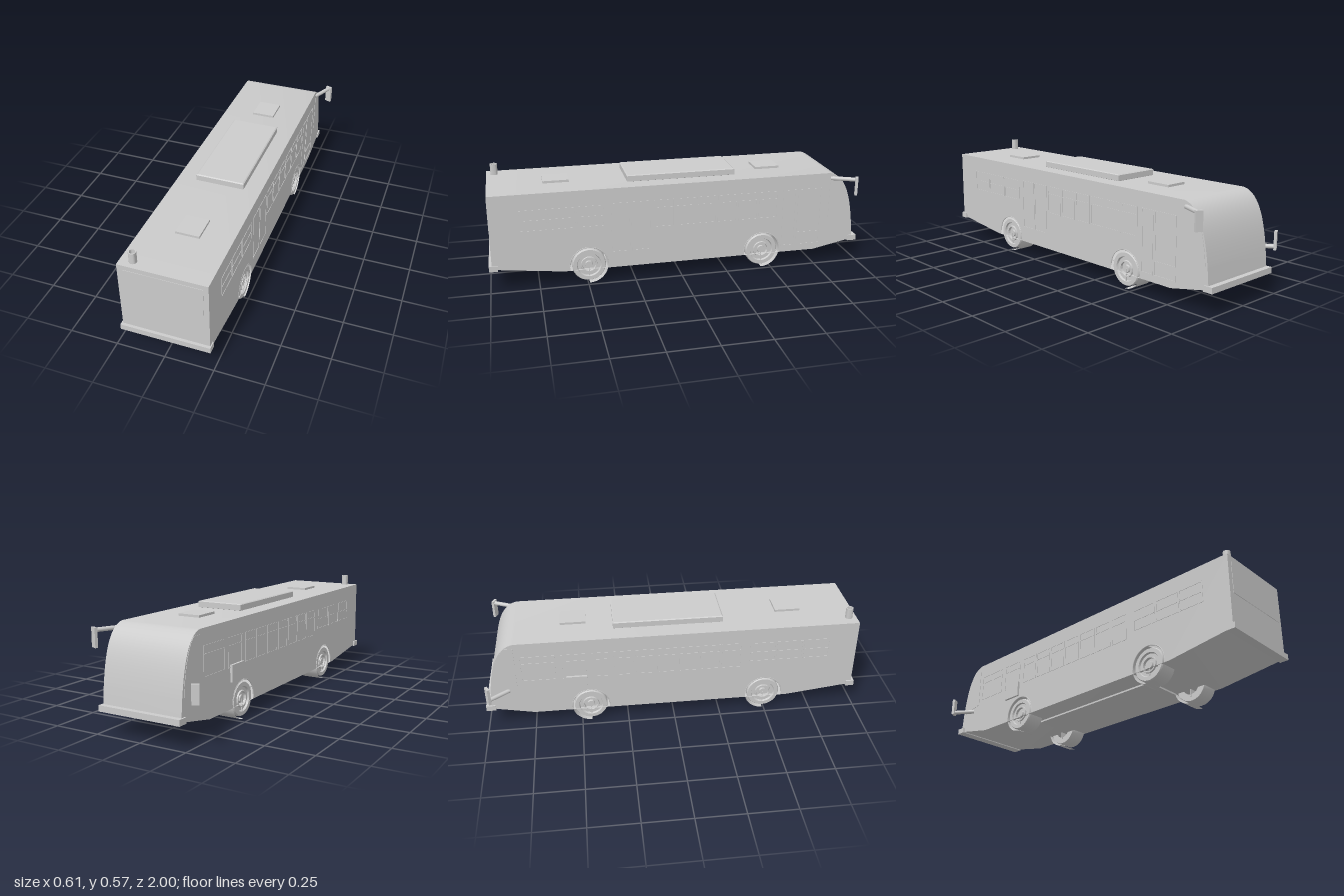
import * as THREE from 'three';
import { toCreasedNormals } from 'three/addons/utils/BufferGeometryUtils.js';

const X0 = -0.212, X1 = 0.229, XC = 0.0085;
const REAR_Z = 0.492, FRONT_Z = -0.449, WHEEL_Y = 0.088, WHEEL_R = 0.088, ARCH_R = 0.1;

export function createModel() {
  const root = new THREE.Group();
  const mat = new THREE.MeshStandardMaterial({ color: 0xcccccc });
  const thin = new THREE.MeshStandardMaterial({ color: 0xcccccc, side: THREE.DoubleSide });

  const add = (name, geo, parent = root, m = mat) => {
    const mesh = new THREE.Mesh(geo, m);
    mesh.name = name;
    parent.add(mesh);
    return mesh;
  };
  const group = (name) => {
    const g = new THREE.Group();
    g.name = name;
    root.add(g);
    return g;
  };
  // Box given by its limits on each axis
  const box = (name, xa, xb, ya, yb, za, zb, parent = root) => {
    const m = add(name, new THREE.BoxGeometry(xb - xa, yb - ya, zb - za), parent);
    m.position.set((xa + xb) / 2, (ya + yb) / 2, (za + zb) / 2);
    return m;
  };

  // Side outline, drawn with the horizontal axis pointing to -z
  const outline = (arches) => {
    const s = new THREE.Shape();
    s.moveTo(-0.985, 0.11);
    s.lineTo(-0.62, 0.065);
    if (arches) {
      const a = Math.asin((WHEEL_Y - 0.065) / ARCH_R);
      for (const z of [REAR_Z, FRONT_Z]) s.absarc(-z, WHEEL_Y, ARCH_R, Math.PI + a, -a, true);
    }
    s.lineTo(0.75, 0.065);
    s.lineTo(0.975, 0.11);
    s.lineTo(0.966, 0.21);
    s.bezierCurveTo(0.95, 0.34, 0.92, 0.485, 0.82, 0.5);
    s.lineTo(-0.985, 0.5);
    s.closePath();
    return s;
  };

  // Body: two side panels with wheel openings, and one skin around the outline
  const body = group('body');
  for (const [name, x] of [['leftSide', X1], ['rightSide', X0]]) {
    const side = new THREE.ShapeGeometry(outline(true), 24);
    side.rotateY(Math.PI / 2);
    side.translate(x, 0, 0);
    add(name, side, body, thin);
  }
  const pts = outline(false).getPoints(20);
  const pos = [];
  for (let i = 0; i < pts.length - 1; i++) {
    const p = pts[i], q = pts[i + 1];
    const c = [[X0, p.y, -p.x], [X0, q.y, -q.x], [X1, q.y, -q.x], [X1, p.y, -p.x]];
    for (const k of [0, 1, 2, 0, 2, 3]) pos.push(...c[k]);
  }
  const skin = new THREE.BufferGeometry();
  skin.setAttribute('position', new THREE.Float32BufferAttribute(pos, 3));
  add('roofAndFloorSkin', toCreasedNormals(skin, 0.4), body, thin);

  // Bumpers, rear window and floor pan
  box('rearBumper', -0.22, 0.235, 0.1, 0.13, 0.955, 1);
  box('frontBumper', -0.22, 0.235, 0.1, 0.13, -1, -0.95);
  box('rearWindow', -0.185, 0.203, 0.3, 0.475, 0.98, 0.987);
  box('floorPan', -0.09, 0.123, 0.056, 0.07, -0.4, 0.4);

  // Roof equipment
  const unit = new THREE.Shape();
  unit.moveTo(-0.115, -0.27);
  unit.lineTo(0.14, -0.27);
  unit.lineTo(0.14, 0.31);
  unit.lineTo(-0.115, 0.31);
  unit.closePath();
  const roofUnit = add('roofUnit', new THREE.ExtrudeGeometry(unit, {
    depth: 0.029, bevelEnabled: true, bevelThickness: 0.004, bevelSize: 0.006, bevelOffset: -0.006, bevelSegments: 1,
  }));
  roofUnit.rotation.x = -Math.PI / 2;
  roofUnit.position.y = 0.501;
  box('frontHatch', -0.048, 0.073, 0.495, 0.512, -0.585, -0.45);
  box('rearHatch', -0.048, 0.073, 0.495, 0.512, 0.565, 0.7);
  const pipe = [[0.019, 0], [0.019, 0.063], [0.014, 0.063], [0.014, 0.02], [0, 0.02]].map((p) => new THREE.Vector2(...p));
  add('exhaustPipe', toCreasedNormals(new THREE.LatheGeometry(pipe, 24), 0.6), root, thin).position.set(-0.148, 0.495, 0.943);

  // Wheels, with the outer face pointing along the lathe axis
  const wheelProfile = [
    [0.05, 0], [0.086, 0], [0.088, 0.004], [0.088, 0.088], [0.084, 0.095], [0.064, 0.095], [0.06, 0.085],
    [0.044, 0.085], [0.042, 0.093], [0.036, 0.093], [0.034, 0.08], [0.02, 0.08], [0.018, 0.09], [0, 0.09],
  ].map((p) => new THREE.Vector2(...p));
  const wheelGeo = toCreasedNormals(new THREE.LatheGeometry(wheelProfile, 40), 0.5);
  const wellGeo = new THREE.CylinderGeometry(ARCH_R, ARCH_R, 0.106, 24, 1, true, 0, Math.PI);
  wellGeo.rotateZ(Math.PI / 2);
  wellGeo.rotateX(-Math.PI / 2);
  const wellPos = wellGeo.attributes.position;
  let top = 0;
  for (let i = 0; i < wellPos.count; i++) top += wellPos.getY(i);
  if (top < 0) wellGeo.rotateX(Math.PI);
  // Narrow trim around each wheel opening
  const trimGeo = new THREE.TorusGeometry(ARCH_R, 0.003, 6, 32, Math.PI);
  trimGeo.rotateY(Math.PI / 2);
  for (const [end, z] of [['front', FRONT_Z], ['rear', REAR_Z]]) {
    for (const s of [1, -1]) {
      const g = group(end + (s > 0 ? 'Left' : 'Right') + 'WheelAssembly');
      g.position.set(XC, WHEEL_Y, z);
      const wheel = add('wheel', wheelGeo, g, thin);
      wheel.rotation.z = -s * Math.PI / 2;
      wheel.position.x = s * 0.122;
      add('wheelWell', wellGeo, g, thin).position.x = s * 0.167;
      add('archTrim', trimGeo, g).position.x = s * 0.2195;
      const plate = add('axlePlate', new THREE.BoxGeometry(0.1, 0.063, 0.004), g);
      plate.position.set(s * 0.164, -0.031, 0);
      if (end === 'front') {
        const wall = add('wellWall', new THREE.CircleGeometry(ARCH_R, 24, 0, Math.PI), g, thin);
        wall.rotation.y = Math.PI / 2;
        wall.position.x = s * 0.114;
      }
    }
  }

  // Thin raised frame on a side wall; bars are heights of extra cross bars
  const frame = (name, s, za, zb, ya, yb, bars = []) => {
    const t = 0.005, g = group(name);
    const xa = s > 0 ? X1 - 0.002 : X0 - 0.002, xb = xa + 0.004;
    for (const z of [za, zb - t]) box('post', xa, xb, ya, yb, z, z + t, g);
    for (const y of [ya, yb - t, ...bars]) box('rail', xa, xb, y, y + t, za, zb, g);
  };
  // Left side: doors, passenger windows and the small rear windows
  frame('rearDoorLeaf', 1, 0.27, 0.37, 0.15, 0.42);
  frame('rearDoorLeaf', 1, 0.16, 0.265, 0.15, 0.42);
  frame('frontDoorLeaf', 1, -0.635, -0.56, 0.1, 0.42);
  frame('frontDoorLeaf', 1, -0.78, -0.645, 0.1, 0.42, [0.17]);
  for (let i = 0; i < 6; i++) {
    const z = 0.145 - i * 0.114;
    frame('leftWindow', 1, z - 0.105, z, 0.27, 0.42, [0.375]);
  }
  // Right side: driver window and passenger windows
  frame('driverWindow', -1, -0.8, -0.62, 0.27, 0.42, [0.375]);
  frame('rightWindow', -1, -0.59, -0.46, 0.27, 0.42, [0.375]);
  for (let i = 0; i < 7; i++) {
    const z = -0.43 + i * 0.114;
    frame('rightWindow', -1, z, z + 0.105, 0.27, 0.42, [0.375]);
  }
  for (const s of [1, -1]) {
    for (let i = 0; i < 3; i++) frame('smallRearWindow', s, 0.405 + i * 0.145, 0.545 + i * 0.145, 0.3, 0.415, [0.355]);
  }
  box('sidePanel', X0 - 0.012, X0, 0.2, 0.285, -0.57, -0.46);

  // Curved quarter windows beside the windscreen
  const quarter = new THREE.Shape();
  quarter.moveTo(0.825, 0.245);
  quarter.lineTo(0.953, 0.217);
  quarter.bezierCurveTo(0.945, 0.32, 0.92, 0.43, 0.872, 0.475);
  quarter.lineTo(0.825, 0.475);
  quarter.closePath();
  for (const [name, x] of [['leftQuarterWindow', X1 - 0.002], ['rightQuarterWindow', X0 - 0.002]]) {
    const geo = new THREE.ExtrudeGeometry(quarter, { depth: 0.004, bevelEnabled: false });
    geo.rotateY(Math.PI / 2);
    add(name, geo).position.x = x;
  }

  // Mirrors on slanted arms
  const mirror = (name, from, to, px, py, pz, h, turn) => {
    const g = group(name);
    const path = new THREE.LineCurve3(new THREE.Vector3(...from), new THREE.Vector3(...to));
    add('arm', new THREE.TubeGeometry(path, 1, 0.011, 16, false), g, thin);
    const plate = add('mirrorPlate', new THREE.BoxGeometry(0.036, h, 0.014), g);
    plate.position.set(px, py, pz);
    plate.rotation.y = turn;
  };
  mirror('leftMirror', [0.225, 0.47, -0.83], [0.28, 0.47, -0.95], 0.284, 0.435, -0.952, 0.096, -0.4);
  mirror('rightMirror', [-0.208, 0.215, -0.87], [-0.28, 0.215, -0.968], -0.285, 0.246, -0.97, 0.094, 0.5);
  return root;
}
